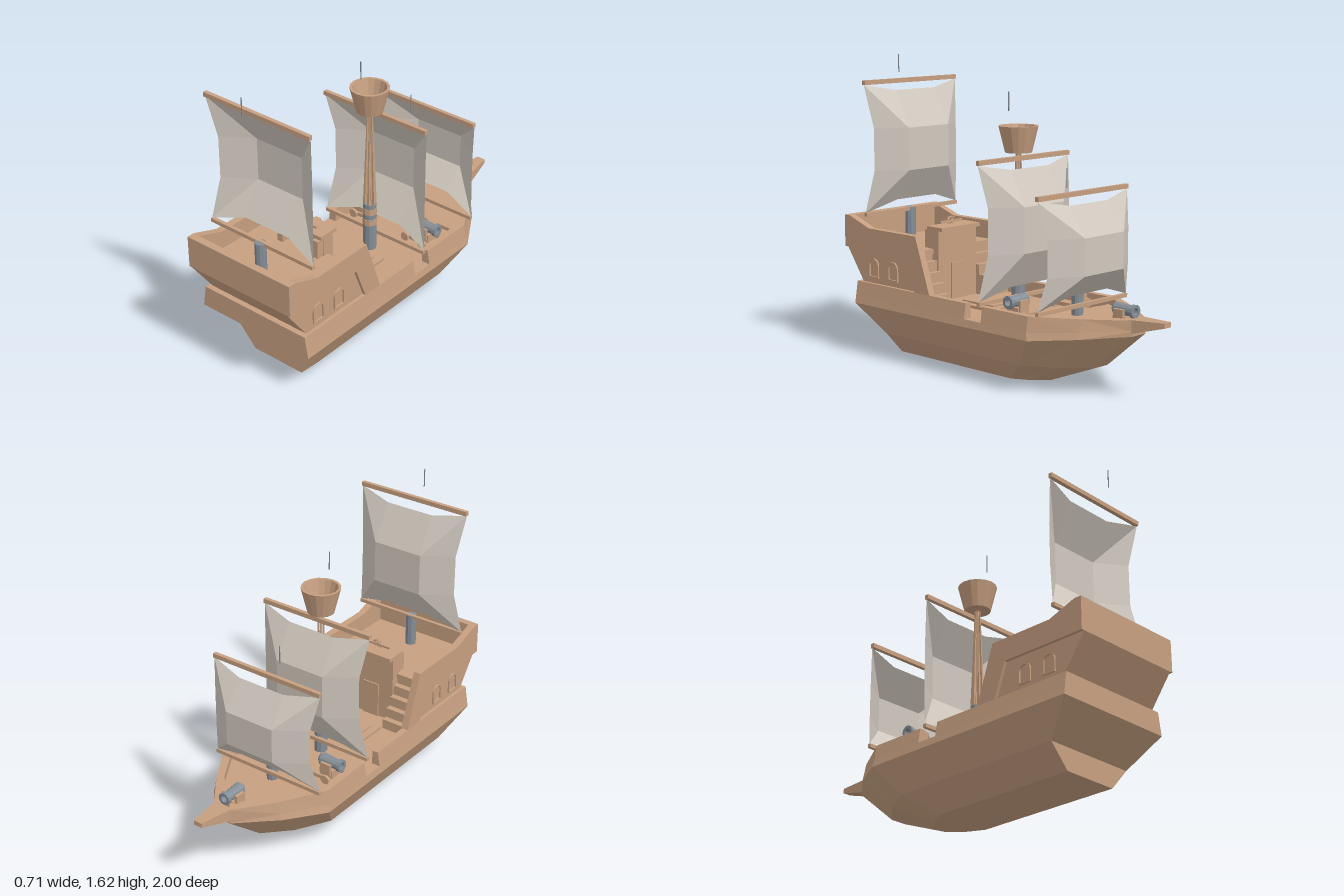
import * as THREE from 'three';

const mat = (name, color) => {
  const m = new THREE.MeshStandardMaterial({ color, flatShading: true, side: THREE.DoubleSide });
  m.name = name;
  return m;
};

export function createModel() {
  const root = new THREE.Group();
  root.name = 'sailingShip';
  const wood = mat('wood', 0xc69f80);
  const canvas = mat('canvas', 0xd0c8be);
  const iron = mat('iron', 0x848d96);

  const add = (name, geo, m, x = 0, y = 0, z = 0, parent = root) => {
    const mesh = new THREE.Mesh(geo, m);
    mesh.name = name;
    mesh.position.set(x, y, z);
    parent.add(mesh);
    return mesh;
  };
  // box given by its extents
  const box = (name, x0, x1, y0, y1, z0, z1, m = wood, parent = root) =>
    add(name, new THREE.BoxGeometry(x1 - x0, y1 - y0, z1 - z0), m,
      (x0 + x1) / 2, (y0 + y1) / 2, (z0 + z1) / 2, parent);
  // side profile of [z, y] points, extruded from x0 to x1
  const profile = (name, pts, x0, x1, m = wood) => {
    const shape = new THREE.Shape(pts.map(([z, y]) => new THREE.Vector2(-z, y)));
    const geo = new THREE.ExtrudeGeometry(shape, { depth: x1 - x0, bevelEnabled: false });
    return add(name, geo.rotateY(Math.PI / 2), m, x0);
  };
  // closed body through rings of equal length, with capped ends
  const loft = (rings) => {
    const out = [];
    const quad = (a, b, c, d) => out.push(...a, ...b, ...c, ...a, ...c, ...d);
    const n = rings[0].length;
    for (let r = 0; r + 1 < rings.length; r++)
      for (let i = 0; i < n; i++) {
        const j = (i + 1) % n;
        quad(rings[r][i], rings[r][j], rings[r + 1][j], rings[r + 1][i]);
      }
    const lo = rings[0], hi = rings[rings.length - 1];
    for (let i = 0; i < n / 2 - 1; i++) {
      quad(hi[i], hi[i + 1], hi[n - 2 - i], hi[n - 1 - i]);
      quad(lo[n - 1 - i], lo[n - 2 - i], lo[i + 1], lo[i]);
    }
    const geo = new THREE.BufferGeometry();
    geo.setAttribute('position', new THREE.Float32BufferAttribute(out, 3));
    geo.computeVertexNormals();
    return geo;
  };

  // hull: half outlines from stern to bow at each level, mirrored into rings
  const levels = [
    [[0.16, 0, 0.74], [0.16, 0, -0.1], [0.11, 0, -0.2], [0.04, 0, -0.27]],
    [[0.27, 0.12, 0.74], [0.27, 0.12, -0.27], [0.17, 0.12, -0.45], [0.045, 0.12, -0.58]],
    [[0.355, 0.28, 0.9], [0.355, 0.28, -0.4], [0.222, 0.3, -0.62], [0.05, 0.32, -0.82]],
    [[0.348, 0.32, 0.9], [0.348, 0.32, -0.39], [0.212, 0.335, -0.62], [0.05, 0.345, -0.82]],
  ];
  const mirrored = (half) => [...half, ...half.slice().reverse().map(([x, y, z]) => [-x, y, z])];
  add('hull', loft(levels.map(mirrored)), wood);

  // bulwarks, with a gap amidships
  const section = (s, z, xb, xt, yb, inset, zi = z) => {
    const ring = [[s * xb, yb, z], [s * (xt - inset), yb, zi], [s * (xt - inset), 0.4, zi], [s * xt, 0.4, z]];
    return s > 0 ? ring : ring.reverse();
  };
  for (const s of [1, -1]) {
    add('aftBulwark', loft([section(s, 0.9, 0.348, 0.335, 0.32, 0.035),
      section(s, 0.05, 0.348, 0.335, 0.32, 0.035)]), wood);
    add('foreBulwark', loft([section(s, -0.07, 0.348, 0.335, 0.32, 0.035),
      section(s, -0.39, 0.348, 0.335, 0.32, 0.035, -0.37),
      section(s, -0.62, 0.212, 0.2, 0.335, 0.035, -0.6),
      section(s, -0.82, 0.05, 0.05, 0.345, 0.04, -0.77)]), wood);
  }
  box('sternBulwark', -0.335, 0.335, 0.3, 0.4, 0.85, 0.9);

  // bowsprit
  const spritRing = (w, y0, y1, z) => [[w, y0, z], [-w, y0, z], [-w, y1, z], [w, y1, z]];
  add('bowsprit', loft([spritRing(0.055, 0.33, 0.402, -0.8), spritRing(0.025, 0.385, 0.41, -1)]), wood);

  // foredeck with its step, and the main hatch
  const deck = (y) => mirrored([[0.3, y, -0.36], [0.29, y, -0.39], [0.17, y, -0.6], [0.03, y, -0.77]]);
  add('foredeck', loft([deck(0.32), deck(0.36)]), wood);
  box('foredeckStep', -0.3, 0.3, 0.32, 0.34, -0.36, -0.29);
  box('hatchFrame', -0.14, 0.14, 0.32, 0.335, 0.05, 0.36);
  box('hatchCover', -0.1, 0.1, 0.33, 0.345, 0.09, 0.32);

  // stern castle
  const wall = [[0.87, 0.4], [1, 0.58], [1, 0.755], [0.96, 0.755], [0.8, 0.7], [0.43, 0.7], [0.325, 0.4]];
  const frame = [...wall.slice(1), [0.44, 0.4], [0.51, 0.58]];
  for (const s of [1, -1]) {
    const span = (a, b) => (s > 0 ? [a, b] : [-b, -a]);
    profile('castleWall', wall, ...span(0.295, 0.317));
    profile('castleFrame', frame, ...span(0.316, 0.335));
    // arched windows
    for (const z of [0.78, 0.625]) {
      const arch = (w, y0, yc, path) => {
        path.moveTo(-w, y0).lineTo(w, y0).lineTo(w, yc);
        path.absarc(0, yc, w, 0, Math.PI, false);
        return path;
      };
      const shape = arch(0.039, 0.43, 0.497, new THREE.Shape());
      shape.holes.push(arch(0.03, 0.438, 0.497, new THREE.Path()));
      const geo = new THREE.ExtrudeGeometry(shape, { depth: 0.009, bevelEnabled: false, curveSegments: 6 });
      add('windowFrame', geo.rotateY(Math.PI / 2), wood, s > 0 ? 0.317 : -0.326, 0, z);
    }
    // stairs up to the quarterdeck
    for (let i = 0; i < 5; i++)
      box('stair', ...span(0.14, 0.297), 0.32, 0.375 + i * 0.055, 0.37 + i * 0.034, 0.54);
    box('railPost', ...span(0.1, 0.135), 0.59, 0.7, 0.53, 0.57);
  }
  profile('sternWall', [[0.87, 0.4], [1, 0.58], [1, 0.755], [0.96, 0.755], [0.96, 0.58], [0.83, 0.4]], -0.3, 0.3);
  box('quarterdeck', -0.3, 0.3, 0.57, 0.6, 0.5, 0.97);
  box('cabinFront', -0.14, 0.14, 0.32, 0.7, 0.46, 0.53);
  box('cabinDoor', -0.05, 0.05, 0.32, 0.52, 0.452, 0.461);
  box('helmShelf', -0.14, 0.14, 0.7, 0.72, 0.43, 0.55);

  // steering wheel
  const wheel = new THREE.Group();
  wheel.name = 'steeringWheel';
  wheel.position.set(0, 0.735, 0.51);
  root.add(wheel);
  add('wheelRim', new THREE.TorusGeometry(0.025, 0.004, 4, 12), wood, 0, 0, 0, wheel);
  for (let i = 0; i < 4; i++)
    add('spoke', new THREE.BoxGeometry(0.07, 0.005, 0.005), wood, 0, 0, 0, wheel).rotation.z = i * Math.PI / 4;
  box('wheelAxle', -0.08, 0.08, -0.006, 0.006, -0.006, 0.006, wood, wheel);

  // sails: a 4 x 4 grid of points, bellied towards the bow
  const sail = (name, z, yTop, yUp, yLow, yBottom) => {
    const half = [
      [[0.335, yTop, 0], [0.14, yTop - 0.035, -0.04]],
      [[0.302, yUp, -0.04], [0.145, yUp, -0.145]],
      [[0.302, yLow, -0.04], [0.145, yLow, -0.145]],
      [[0.335, yBottom, 0], [0.14, yBottom + 0.06, -0.04]],
    ];
    const pts = half.flatMap(([o, i]) => [[-o[0], o[1], o[2]], [-i[0], i[1], i[2]], i, o]).flat();
    const index = [];
    for (let r = 0; r < 3; r++)
      for (let c = 0; c < 3; c++) {
        const a = r * 4 + c;
        // the diagonals run from the belly out to the corners
        if ((r + c) % 2 === 0 && r !== 2 - c || r === 1) index.push(a, a + 4, a + 5, a, a + 5, a + 1);
        else index.push(a, a + 4, a + 1, a + 1, a + 4, a + 5);
      }
    const geo = new THREE.BufferGeometry();
    geo.setAttribute('position', new THREE.Float32BufferAttribute(pts, 3));
    geo.setIndex(index);
    geo.computeVertexNormals();
    add(name, geo, canvas, 0, 0, z);
    box('upperYard', -0.335, 0.335, yTop, yTop + 0.024, z - 0.01, z + 0.012);
    box('lowerYard', -0.335, 0.335, yBottom - 0.018, yBottom + 0.002, z - 0.01, z + 0.01);
  };
  sail('mizzenSail', 0.825, 1.472, 1.24, 1.01, 0.78);
  sail('mainSail', -0.04, 1.115, 0.9, 0.66, 0.415);
  sail('foreSail', -0.45, 0.975, 0.79, 0.6, 0.425);

  // mast sockets and pennant poles
  const tube = (r0, r1, h) => new THREE.CylinderGeometry(r1, r0, h, 10);
  const mast = (name, z, r, y0, y1, poleZ, poleY) => {
    add(name + 'Socket', tube(r, r, y1 - y0), iron, 0, (y0 + y1) / 2, z);
    add(name + 'Pole', new THREE.BoxGeometry(0.004, 0.1, 0.004), iron, 0, poleY, poleZ);
  };
  mast('mizzenMast', 0.835, 0.03, 0.6, 0.78, 0.92, 1.57);
  mast('mainMast', 0, 0.036, 0.32, 0.6, 0.07, 1.41);
  mast('foreMast', -0.415, 0.03, 0.34, 0.47, -0.34, 1.05);
  for (const y of [0.49, 0.555]) add('mastBand', tube(0.039, 0.039, 0.035), wood, 0, y, 0);

  // slender staves of the main mast
  for (let i = 0; i < 6; i++) {
    const a = i * Math.PI / 3, c = Math.cos(a), s = Math.sin(a);
    const ring = (y, r, w) => [[-w, -w], [-w, w], [w, w], [w, -w]].map(([u, v]) => [c * r + u, y, s * r + v]);
    add('mastStave', loft([ring(0.6, 0.028, 0.007), ring(1.16, 0.012, 0.002)]), wood);
  }

  // crow's nest: open tub
  const tub = [[0, 1.152], [0.07, 1.152], [0.104, 1.29], [0.09, 1.29], [0.06, 1.175], [0, 1.175]];
  add('crowsNest', new THREE.LatheGeometry(tub.map(([x, y]) => new THREE.Vector2(x, y)), 16), wood);

  // cannons, each with the muzzle along +x before turning
  const cannon = (x, y, z, turn, wheels) => {
    const g = new THREE.Group();
    g.name = 'cannon';
    g.position.set(x, y, z);
    g.rotation.y = turn;
    root.add(g);
    const bore = [[0, -0.075], [0.02, -0.07], [0.034, -0.055], [0.027, 0.045], [0.034, 0.05],
      [0.034, 0.07], [0.018, 0.07], [0.018, 0.02], [0, 0.02]];
    const geo = new THREE.LatheGeometry(bore.map(([r, h]) => new THREE.Vector2(r, h)), 12);
    add('barrel', geo.rotateZ(-Math.PI / 2), iron, 0, 0, 0, g);
    for (const s of [1, -1]) box('cheek', -0.035, 0.025, -0.06, 0.008, s * 0.04 - 0.008, s * 0.04 + 0.008, wood, g);
    box('carriage', -0.05, 0.03, -0.075, -0.03, -0.035, 0.035, wood, g);
    if (!wheels) return;
    for (const dx of [0.01, -0.1])
      for (const s of [1, -1])
        add('wheel', tube(0.025, 0.025, 0.014).rotateX(Math.PI / 2), wood, dx, -0.07, s * 0.065, g);
    box('trail', -0.11, 0.02, -0.08, -0.06, -0.06, 0.06, wood, g);
  };
  cannon(0.225, 0.436, -0.21, 0, true);
  cannon(-0.225, 0.436, -0.21, Math.PI, true);
  cannon(0, 0.434, -0.73, Math.PI / 2, false);

  return root;
}
